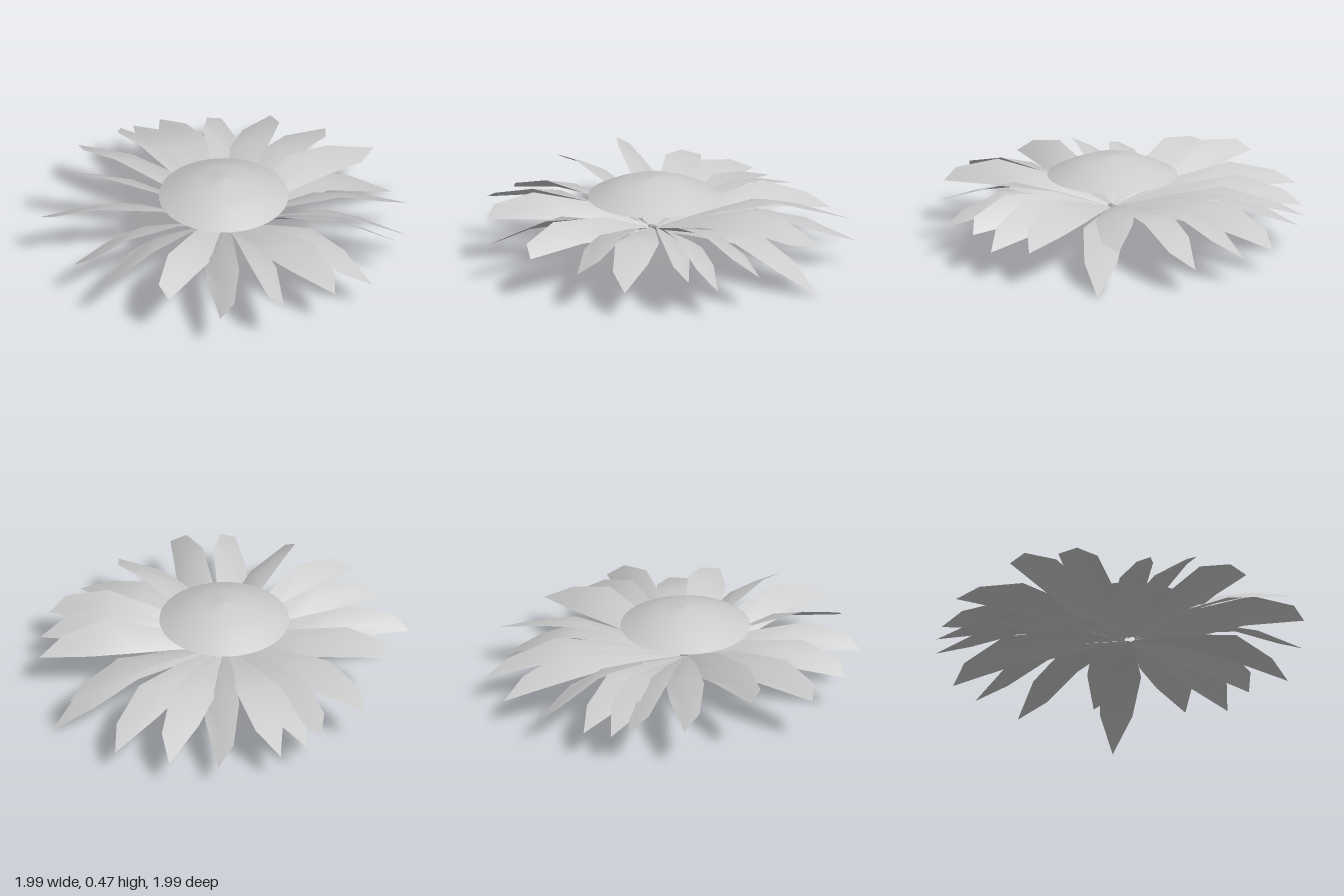
import * as THREE from 'three';

const paleGrey = new THREE.MeshStandardMaterial({ color: 0xcccccc, side: THREE.DoubleSide });
paleGrey.name = 'paleGrey';

const CENTRE = new THREE.Vector3(-0.07, 0, 0.05);

// Each petal: tip x, tip z, tip height, skew of the outline, slope across the petal
// (positive lifts the clockwise edge seen from above)
const PETALS = [
  [0.03, -1.0, 0.17, 0.03, 0.1], [-0.13, -0.99, 0.18, 0, 0], [-0.22, -0.96, 0.21, -0.1, -0.4],
  [-0.51, -0.87, 0.24, -0.1, -0.4], [-0.76, -0.57, 0.33, -0.16, -0.64], [-1.0, -0.3, 0.27, -0.13, -0.5],
  [-0.99, 0.12, 0.22, -0.13, -0.5], [-0.95, 0.39, 0.25, -0.13, -0.5], [-0.69, 0.7, 0.27, 0.15, 0.6],
  [-0.49, 0.92, 0.23, -0.14, -0.55], [-0.14, 0.99, 0.25, 0.15, 0.6], [0.17, 0.97, 0.23, -0.08, -0.3],
  [0.43, 0.88, 0.16, 0.05, 0.1], [0.695, 0.66, 0.22, 0.13, 0.75], [0.8, 0.54, 0.16, 0.07, 0.6],
  [0.9, 0.31, 0.2, 0.06, 0.45], [0.985, -0.085, 0, 0, 0], [0.925, -0.185, 0.24, 0.05, -0.25],
  [0.825, -0.59, 0.14, 0.06, 0.1], [0.6, -0.81, 0.15, 0.055, 0.2], [0.36, -0.92, 0.13, -0.1, -0.45],
];

// Stations along a petal: fraction of length, half width, how far the skew shifts the edges
const STATIONS = [[0.03, 0.015, 0], [0.3, 0.066, 0.3], [0.56, 0.112, 1], [0.8, 0.088, 1]];

function petalGeometry([tx, tz, tipY, skew, slope]) {
  const dx = tx - CENTRE.x, dz = tz - CENTRE.z;
  const length = Math.hypot(dx, dz);
  const dir = [dx / length, dz / length];
  const narrow = 1 / Math.hypot(1, slope);
  const midY = 0.245 + 0.34 * tipY;
  // Arched spine: rises from the base, then droops to the tip
  const spine = (t) => (t < 0.56
    ? THREE.MathUtils.lerp(0.17, midY, Math.pow(t / 0.56, 0.75))
    : THREE.MathUtils.lerp(midY, tipY, Math.pow((t - 0.56) / 0.44, 1.25)));
  const points = [], index = [];
  const add = (t, side, lift) => points.push(
    CENTRE.x + dir[0] * t * length - dir[1] * side,
    spine(t) + lift,
    CENTRE.z + dir[1] * t * length + dir[0] * side,
  );
  STATIONS.forEach(([t, halfWidth, shift], row) => {
    for (const s of [-1, 0, 1]) {
      const w = s * halfWidth * narrow;
      add(t + s * skew * shift, w, w * slope + (s === 0 ? 0.006 : 0));
    }
    if (row === 0) return;
    for (let c = 0; c < 2; c++) {
      const a = (row - 1) * 3 + c, b = a + 3;
      index.push(a, b, a + 1, a + 1, b, b + 1);
    }
  });
  // Pointed end
  add(1, 0, 0);
  index.push(9, 12, 10, 10, 12, 11);
  const geometry = new THREE.BufferGeometry();
  geometry.setAttribute('position', new THREE.Float32BufferAttribute(points, 3));
  geometry.setIndex(index);
  geometry.computeVertexNormals();
  return geometry;
}

export function createModel() {
  const flower = new THREE.Group();
  flower.name = 'flower';

  // Domed centre
  const profile = [[0.35, 0.365], [0.26, 0.41], [0.15, 0.455], [0, 0.475]];
  const dome = new THREE.Mesh(
    new THREE.LatheGeometry(profile.map(([r, y]) => new THREE.Vector2(r, y)), 40),
    paleGrey,
  );
  dome.name = 'flowerCentre';
  dome.position.copy(CENTRE);
  flower.add(dome);

  // Ring of petals
  const petals = new THREE.Group();
  petals.name = 'petals';
  for (const spec of PETALS) {
    const petal = new THREE.Mesh(petalGeometry(spec), paleGrey);
    petal.name = 'petal';
    petals.add(petal);
  }
  flower.add(petals);
  return flower;
}
